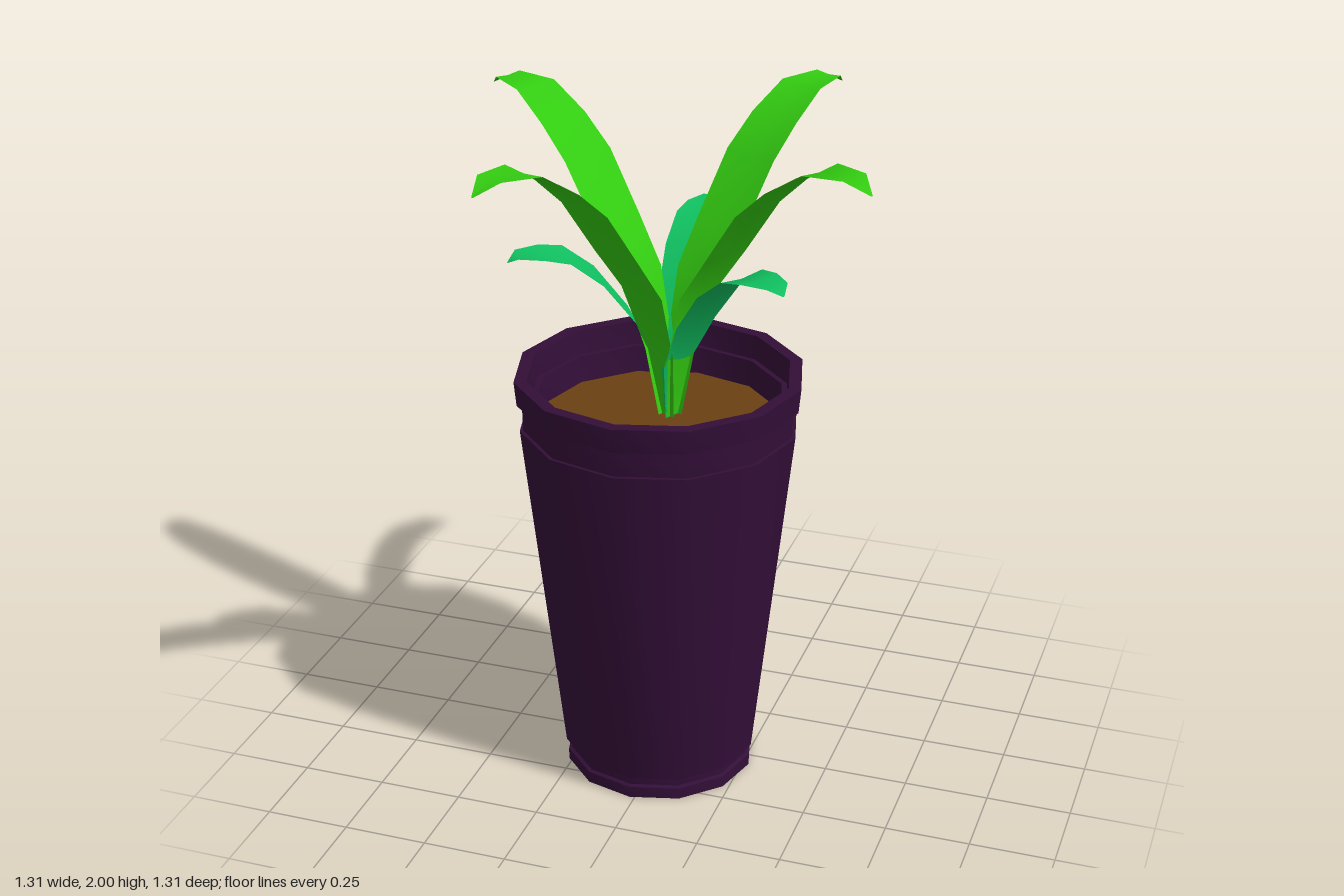
import * as THREE from 'three';
import { toCreasedNormals } from 'three/addons/utils/BufferGeometryUtils.js';

const paint = (name, color, side = THREE.FrontSide) => {
  const m = new THREE.MeshStandardMaterial({ color, side });
  m.name = name;
  return m;
};

// A leaf blade growing along +x; each section is [distance, height, half width]
function leafGeometry(sections) {
  const positions = [], index = [];
  sections.forEach(([x, y, w], i) => {
    positions.push(x, y + w * 0.1, -w, x, y, 0, x, y + w * 0.1, w);
    if (i === 0) return;
    const a = (i - 1) * 3, b = i * 3;
    for (let k = 0; k < 2; k++) {
      index.push(a + k, a + k + 1, b + k + 1, a + k, b + k + 1, b + k);
    }
  });
  const g = new THREE.BufferGeometry();
  g.setAttribute('position', new THREE.Float32BufferAttribute(positions, 3));
  g.setIndex(index);
  g.computeVertexNormals();
  return g;
}

export function createModel() {
  const model = new THREE.Group();
  model.name = 'pottedPlant';

  const purple = paint('pot purple', 0x330f38);
  const brown = paint('soil brown', 0x6b4012);
  const green = paint('leaf green', 0x33cc11, THREE.DoubleSide);
  const teal = paint('young leaf green', 0x10c060, THREE.DoubleSide);

  // Twelve-sided pot: foot, tapered body, neck, rim and inner wall
  const profile = [
    [0, 0], [0.285, 0], [0.285, 0.035], [0.275, 0.04], [0.275, 0.07],
    [0.291, 0.07], [0.408, 1.12], [0.398, 1.12], [0.4, 1.2], [0.415, 1.2],
    [0.422, 1.273], [0.385, 1.273], [0.378, 1.2], [0.362, 1.2], [0.353, 1.1],
  ].map(([r, y]) => new THREE.Vector2(r, y));
  const pot = new THREE.Mesh(toCreasedNormals(new THREE.LatheGeometry(profile, 12), 0.6), purple);
  pot.name = 'pot';
  pot.position.set(-0.015, 0, 0.05);
  model.add(pot);

  // Soil disc
  const soil = new THREE.Mesh(new THREE.CircleGeometry(0.355, 12), brown);
  soil.name = 'soil';
  soil.rotation.x = -Math.PI / 2;
  soil.position.set(-0.015, 1.12, 0.05);
  model.add(soil);

  // Rings of leaves
  const addLeaves = (name, sections, material, count, startAngle) => {
    const geometry = leafGeometry(sections);
    for (let i = 0; i < count; i++) {
      const leaf = new THREE.Mesh(geometry, material);
      leaf.name = name + (i + 1);
      leaf.rotation.y = startAngle + (i * Math.PI * 2) / count;
      model.add(leaf);
    }
  };
  addLeaves('tallLeaf', [
    [0.015, 1.11, 0.03], [0.045, 1.32, 0.055], [0.115, 1.52, 0.08], [0.21, 1.65, 0.088],
    [0.33, 1.82, 0.09], [0.43, 1.91, 0.085], [0.545, 1.985, 0.073], [0.665, 1.995, 0.046],
    [0.725, 1.963, 0.003],
  ], green, 4, -0.45);
  addLeaves('shortLeaf', [
    [0.015, 1.11, 0.03], [0.03, 1.28, 0.05], [0.11, 1.43, 0.075], [0.205, 1.555, 0.082],
    [0.295, 1.625, 0.078], [0.365, 1.638, 0.067], [0.435, 1.64, 0.04], [0.462, 1.622, 0.003],
  ], teal, 3, Math.PI / 2);

  return model;
}
